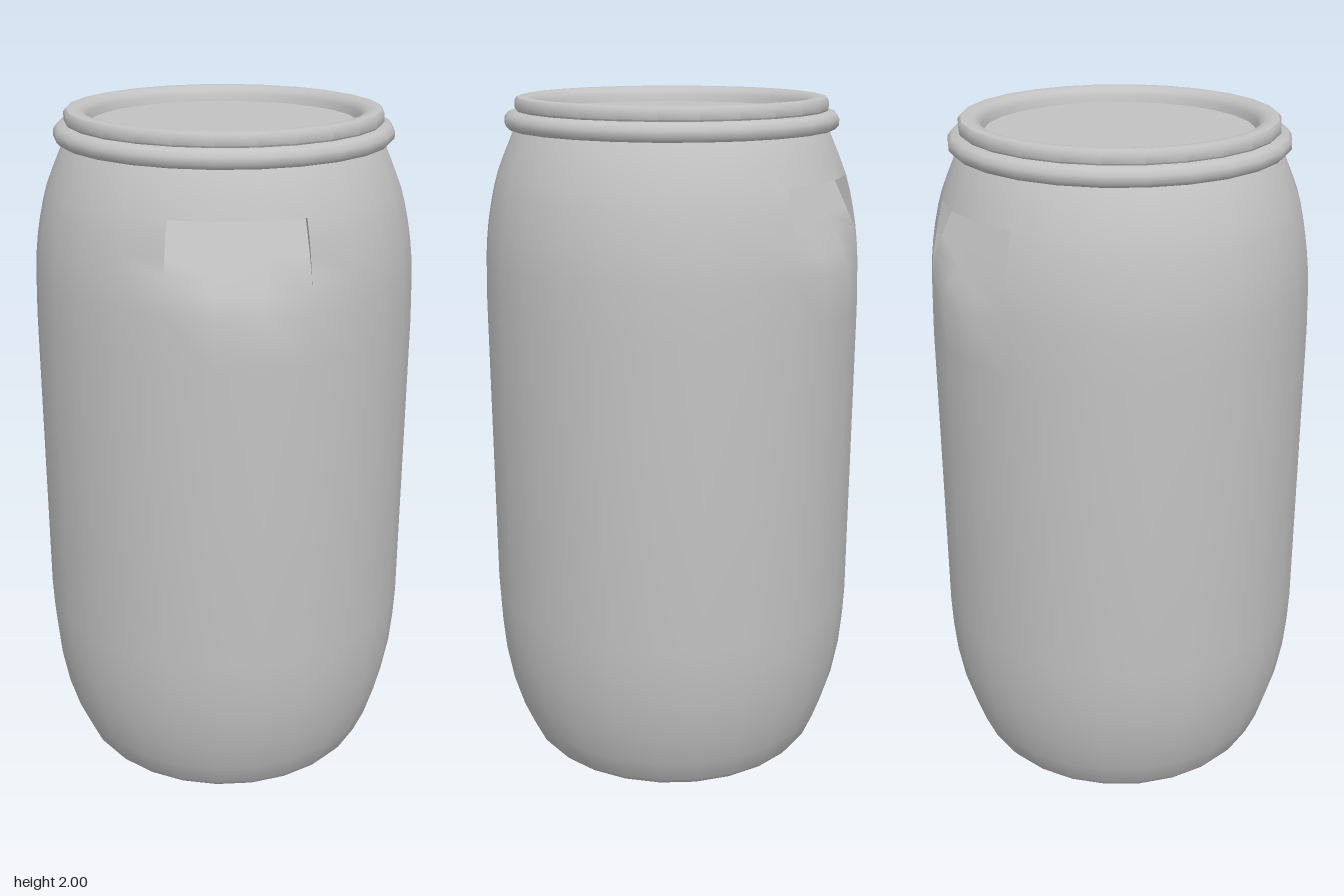
import * as THREE from 'three';
import { toCreasedNormals } from 'three/addons/utils/BufferGeometryUtils.js';

const SIDES = 26;
const POCKET_LOW = 1.54, POCKET_TOP = 1.785;
const grey = new THREE.MeshStandardMaterial({ color: 0xc2c2c2 });
grey.name = 'grey plastic';

// Depth of the slanted pocket floor at a given height
const pocketFloor = (y) => 0.55 - 0.12 * (y - POCKET_LOW) / (POCKET_TOP - POCKET_LOW);

// One ring point; inside a pocket it is pushed back to the pocket floor
function ringPoint([r, y], i, inPocket) {
  const a = (i / SIDES) * Math.PI * 2;
  const p = new THREE.Vector3(r * Math.cos(a), y, r * Math.sin(a));
  if (inPocket) p.z = Math.sign(p.z) * Math.min(Math.abs(p.z), pocketFloor(y));
  return p;
}

// Revolve a [radius, height] profile; pocketed(column, row) marks recessed cells
function revolve(name, profile, crease, pocketed = () => false) {
  const pos = [];
  const tri = (a, b, c) => {
    const area = b.clone().sub(a).cross(c.clone().sub(a)).length();
    if (area > 1e-8) pos.push(...a.toArray(), ...b.toArray(), ...c.toArray());
  };
  const quad = (a, b, c, d) => { tri(a, b, c); tri(a, c, d); };
  for (let j = 0; j < profile.length - 1; j++) {
    for (let i = 0; i < SIDES; i++) {
      const k = (i + 1) % SIDES, lo = profile[j], hi = profile[j + 1];
      const inside = pocketed(i, j);
      quad(ringPoint(lo, i, inside), ringPoint(hi, i, inside),
        ringPoint(hi, k, inside), ringPoint(lo, k, inside));
      if (!inside) continue;
      // Pocket side walls
      if (!pocketed(i - 1, j)) {
        quad(ringPoint(lo, i, false), ringPoint(hi, i, false), ringPoint(hi, i, true), ringPoint(lo, i, true));
      }
      if (!pocketed(i + 1, j)) {
        quad(ringPoint(lo, k, true), ringPoint(hi, k, true), ringPoint(hi, k, false), ringPoint(lo, k, false));
      }
      // Pocket ceiling under the grip edge
      if (!pocketed(i, j + 1)) {
        quad(ringPoint(hi, i, true), ringPoint(hi, i, false), ringPoint(hi, k, false), ringPoint(hi, k, true));
      }
    }
  }
  const geo = new THREE.BufferGeometry();
  geo.setAttribute('position', new THREE.Float32BufferAttribute(pos, 3));
  const mesh = new THREE.Mesh(toCreasedNormals(geo, crease), grey);
  mesh.name = name;
  return mesh;
}

export function createModel() {
  const group = new THREE.Group();
  group.name = 'barrel';

  // Body with a hollow underside and a grip pocket at front and back
  const body = [
    [0, 0.08], [0.36, 0.08], [0.385, 0.03], [0.41, 0.005], [0.43, 0], [0.445, 0.006],
    [0.46, 0.025], [0.492, 0.1], [0.522, 0.2], [0.542, 0.31], [0.551, 0.41], [0.555, 0.5],
    [0.555, 0.95], [0.555, 1.4], [0.551, POCKET_LOW], [0.547, 1.59], [0.541, 1.64],
    [0.532, 1.69], [0.521, 1.74], [0.508, POCKET_TOP], [0.49, 1.83], [0.455, 1.91], [0.44, 1.93],
  ];
  const isPocket = (i, j) => ((i >= 5 && i <= 7) || (i >= 18 && i <= 20))
    && body[j][1] >= POCKET_LOW && body[j + 1][1] <= POCKET_TOP;
  group.add(revolve('body', body, 0.7, isPocket));

  // Clamping ring around the neck
  group.add(revolve('clampRing', [
    [0.44, 1.91], [0.472, 1.91], [0.483, 1.922], [0.483, 1.94], [0.472, 1.955], [0.44, 1.962],
  ], 0.9));

  // Lid with a rounded rim and a sunken centre
  group.add(revolve('lid', [
    [0.44, 1.95], [0.452, 1.965], [0.452, 1.988], [0.445, 1.997], [0.43, 2], [0.41, 1.997],
    [0.395, 1.988], [0.388, 1.975], [0.383, 1.955], [0, 1.955],
  ], 0.7));

  return group;
}
